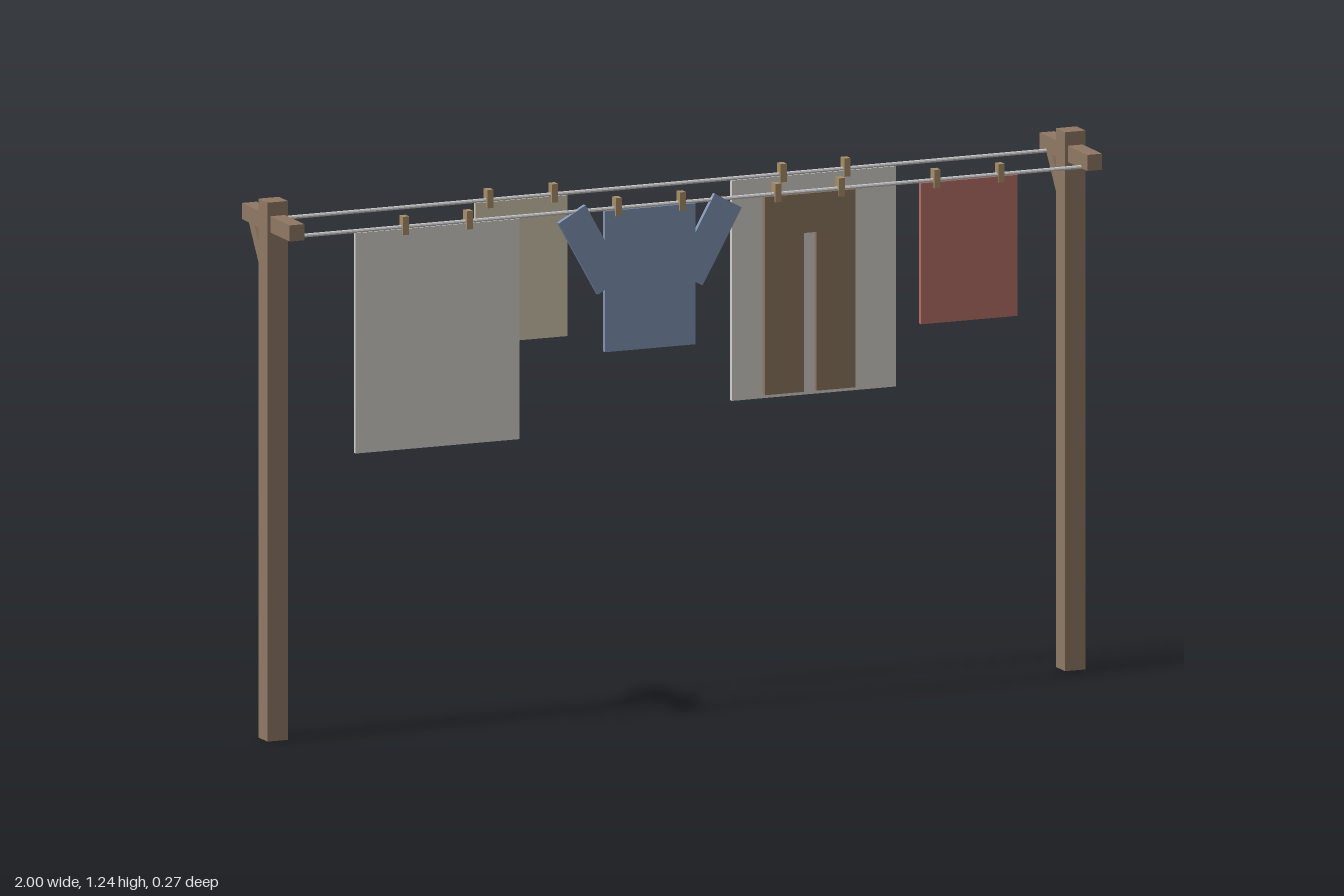
import * as THREE from 'three';

const mat = (color) => new THREE.MeshStandardMaterial({ color, flatShading: true });

export function createModel() {
  const root = new THREE.Group();
  root.name = 'clothesline';
  const wood = mat(0x8f7863), pegWood = mat(0xa88e68), cord = mat(0xcccccc);
  const white = mat(0xd4d3cc), beige = mat(0xd2c8b0), blue = mat(0x8094b3);
  const brown = mat(0x8c7860), red = mat(0xb87068);
  const LINE_Y = 1.169, LINE_Z = 0.098, TOP = 1.165, CLOTH = 0.012;

  const add = (name, geometry, material, x, y, z, parent = root) => {
    const mesh = new THREE.Mesh(geometry, material);
    mesh.name = name;
    mesh.position.set(x, y, z);
    parent.add(mesh);
    return mesh;
  };
  const box = (name, w, h, d, material, x, y, z, parent) =>
    add(name, new THREE.BoxGeometry(w, h, d), material, x, y, z, parent);
  // Flat panel extruded from an outline and centred on z
  const panel = (points, depth) => {
    const shape = new THREE.Shape(points.map(([x, y]) => new THREE.Vector2(x, y)));
    return new THREE.ExtrudeGeometry(shape, { depth, bevelEnabled: false }).translate(0, 0, -depth / 2);
  };

  // End supports: post, crossbar and one diagonal brace on the back
  for (const side of [-1, 1]) {
    const support = new THREE.Group();
    support.name = side < 0 ? 'rightSupport' : 'leftSupport';
    support.position.x = side * 0.975;
    root.add(support);
    box('post', 0.05, 1.235, 0.05, wood, 0, 0.6175, 0, support);
    box('crossbar', 0.036, 0.037, 0.27, wood, 0, 1.185, 0, support);
    const outline = [[0.02, 1.021], [0.119, 1.169], [0.088, 1.169], [0.02, 1.064]];
    const brace = add('brace', panel(outline, 0.02), wood, 0, 0, 0, support);
    brace.rotation.y = Math.PI / 2;
  }

  // Two cords between the crossbars
  for (const side of [-1, 1]) {
    const geometry = new THREE.CylinderGeometry(0.0045, 0.0045, 1.95, 8).rotateZ(Math.PI / 2);
    add(side > 0 ? 'frontLine' : 'backLine', geometry, cord, 0, LINE_Y, side * LINE_Z);
  }

  // Rectangular laundry: name, x from, x to, bottom, z, thickness, material
  const sheets = [
    ['frontSheet', -0.818, -0.417, 0.66, LINE_Z, 0.01, white],
    ['backSheet', 0.187, 0.588, 0.66, -LINE_Z, 0.01, white],
    ['pillowcase', -0.44, -0.215, 0.842, -LINE_Z, 0.01, beige],
    ['towel', 0.564, 0.8, 0.842, LINE_Z, CLOTH, red],
  ];
  for (const [name, x0, x1, bottom, z, depth, material] of sheets)
    box(name, x1 - x0, TOP - bottom, depth, material, (x0 + x1) / 2, (TOP + bottom) / 2, z);

  // Shirt: body with two sleeves raised outward
  const shirt = new THREE.Group();
  shirt.name = 'shirt';
  shirt.position.set(-0.098, 0, LINE_Z);
  root.add(shirt);
  box('shirtBody', 0.222, TOP - 0.842, CLOTH, blue, 0, (TOP + 0.842) / 2, 0, shirt);
  for (const side of [-1, 1]) {
    const sleeve = box('sleeve', 0.075, 0.196, 0.0115, blue, side * 0.143, 1.079, 0, shirt);
    sleeve.rotation.z = -side * 0.51;
  }

  // Trousers: waist and two legs around a narrow gap
  const trousers = [
    [-0.111, 0.711], [-0.015, 0.711], [-0.015, 1.075], [0.015, 1.075],
    [0.015, 0.711], [0.111, 0.711], [0.111, TOP], [-0.111, TOP],
  ];
  add('trousers', panel(trousers, CLOTH), brown, 0.293, 0, LINE_Z);

  // Pegs, two per item
  const frontPegs = [-0.697, -0.541, -0.177, -0.02, 0.213, 0.369, 0.602, 0.759];
  const backPegs = [-0.406, -0.248, 0.311, 0.467];
  for (const [xs, z] of [[frontPegs, LINE_Z], [backPegs, -LINE_Z]])
    for (const x of xs) box('peg', 0.015, 0.042, 0.021, pegWood, x, 1.173, z);

  return root;
}
